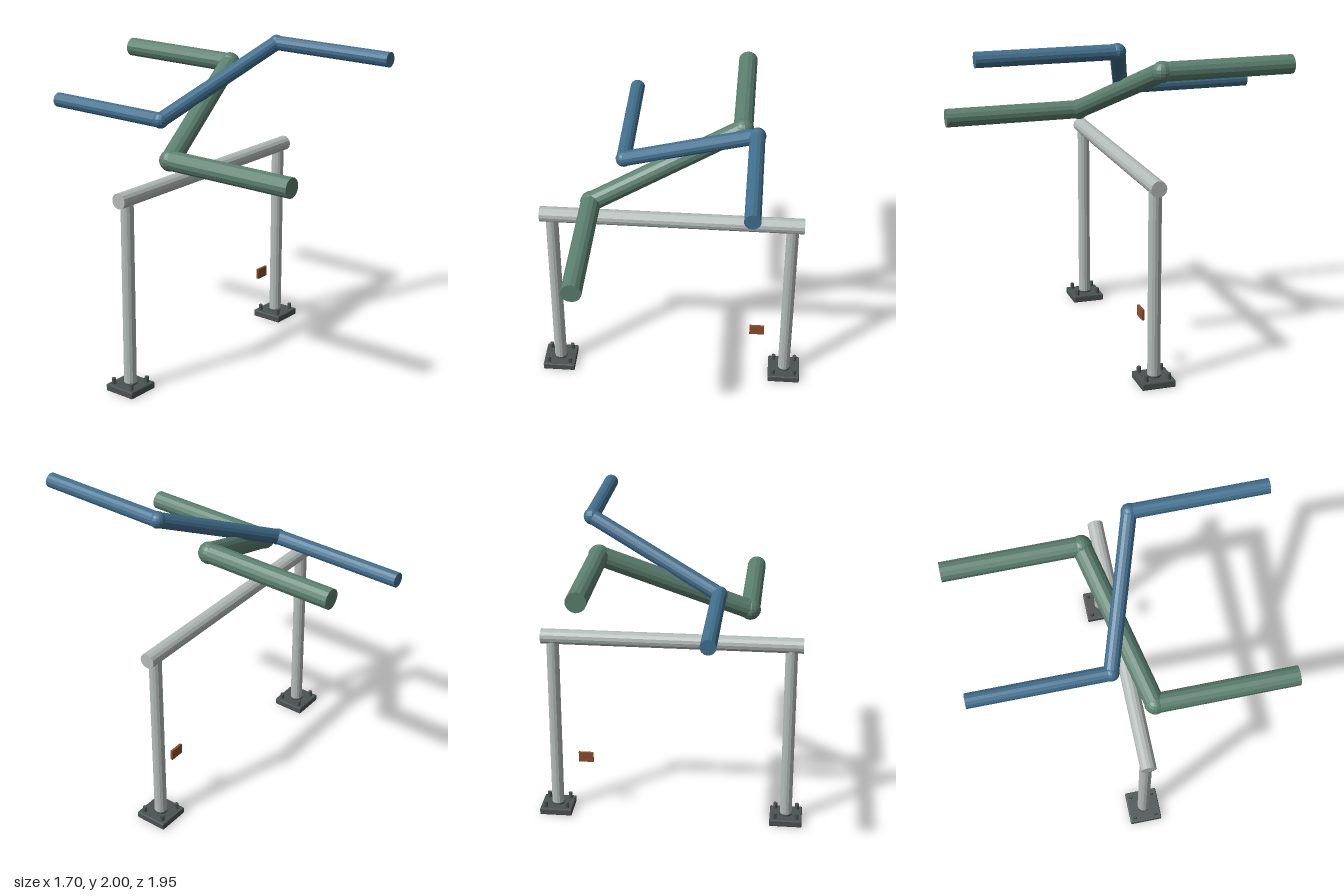
import * as THREE from 'three';
import { RoundedBoxGeometry } from 'three/addons/geometries/RoundedBoxGeometry.js';

const mat = (color) => new THREE.MeshStandardMaterial({ color, flatShading: true });
const steel = mat(0xb4bcb9);
const dark = mat(0x4b5352);
const green = mat(0x5b8070);
const blue = mat(0x41708f);
const rust = mat(0x8f4e2c);

function add(parent, name, geometry, material, x = 0, y = 0, z = 0) {
  const mesh = new THREE.Mesh(geometry, material);
  mesh.name = name;
  mesh.position.set(x, y, z);
  parent.add(mesh);
  return mesh;
}

// Straight round bar between two points
function bar(parent, name, a, b, radius, material, sides = 14) {
  const dir = b.clone().sub(a);
  const mesh = add(parent, name, new THREE.CylinderGeometry(radius, radius, dir.length(), sides), material);
  mesh.position.copy(a).add(b).multiplyScalar(0.5);
  mesh.quaternion.setFromUnitVectors(new THREE.Vector3(0, 1, 0), dir.normalize());
  return mesh;
}

// Pipe run through a list of points, with a ball elbow at each inner point
function pipeRun(name, points, radius, elbowRadius, material) {
  const run = new THREE.Group();
  run.name = name;
  const p = points.map((c) => new THREE.Vector3(...c));
  for (let i = 0; i < p.length - 1; i++) {
    bar(run, name + 'Section', p[i], p[i + 1], radius, material);
  }
  for (const c of p.slice(1, -1)) {
    add(run, name + 'Elbow', new THREE.SphereGeometry(elbowRadius, 14, 10), material, c.x, c.y, c.z);
  }
  return run;
}

// Post with collar, base plate and four anchor bolts
function supportPost(side) {
  const post = new THREE.Group();
  post.name = side > 0 ? 'leftPost' : 'rightPost';
  add(post, 'postTube', new THREE.CylinderGeometry(0.039, 0.039, 1.18, 14), steel, 0, 0.62, 0);
  add(post, 'postCollar', new THREE.CylinderGeometry(0.043, 0.043, 0.03, 14), dark, 0, 0.038, 0);
  add(post, 'basePlate', new RoundedBoxGeometry(0.207, 0.043, 0.207, 1, 0.006), dark, 0, 0.0215, 0);
  for (const x of [-0.07, 0.07]) {
    for (const z of [-0.07, 0.07]) {
      add(post, 'anchorBolt', new THREE.CylinderGeometry(0.013, 0.013, 0.05, 8), dark, x, 0.055, z);
    }
  }
  post.position.x = side * 0.745;
  return post;
}

export function createModel() {
  const model = new THREE.Group();
  model.name = 'pipeSupport';

  // Portal frame
  model.add(supportPost(1), supportPost(-1));
  bar(model, 'crossBeam', new THREE.Vector3(-0.818, 1.212, 0), new THREE.Vector3(0.816, 1.212, 0), 0.048, steel);

  // Two crossing pipes that shift sideways above the frame
  model.add(pipeRun('greenPipe', [
    [-0.48, 1.4, 0.973], [-0.48, 1.4, 0.105], [0.415, 1.8, -0.15], [0.415, 1.8, -0.973],
  ], 0.06, 0.065, green));
  model.add(pipeRun('bluePipe', [
    [0.503, 1.95, 0.973], [0.503, 1.95, 0.15], [-0.302, 1.57, -0.12], [-0.302, 1.57, -0.973],
  ], 0.046, 0.05, blue));

  // Small tag
  add(model, 'tagPlate', new THREE.BoxGeometry(0.095, 0.066, 0.015), rust, 0.555, 0.374, 0.02);

  return model;
}
